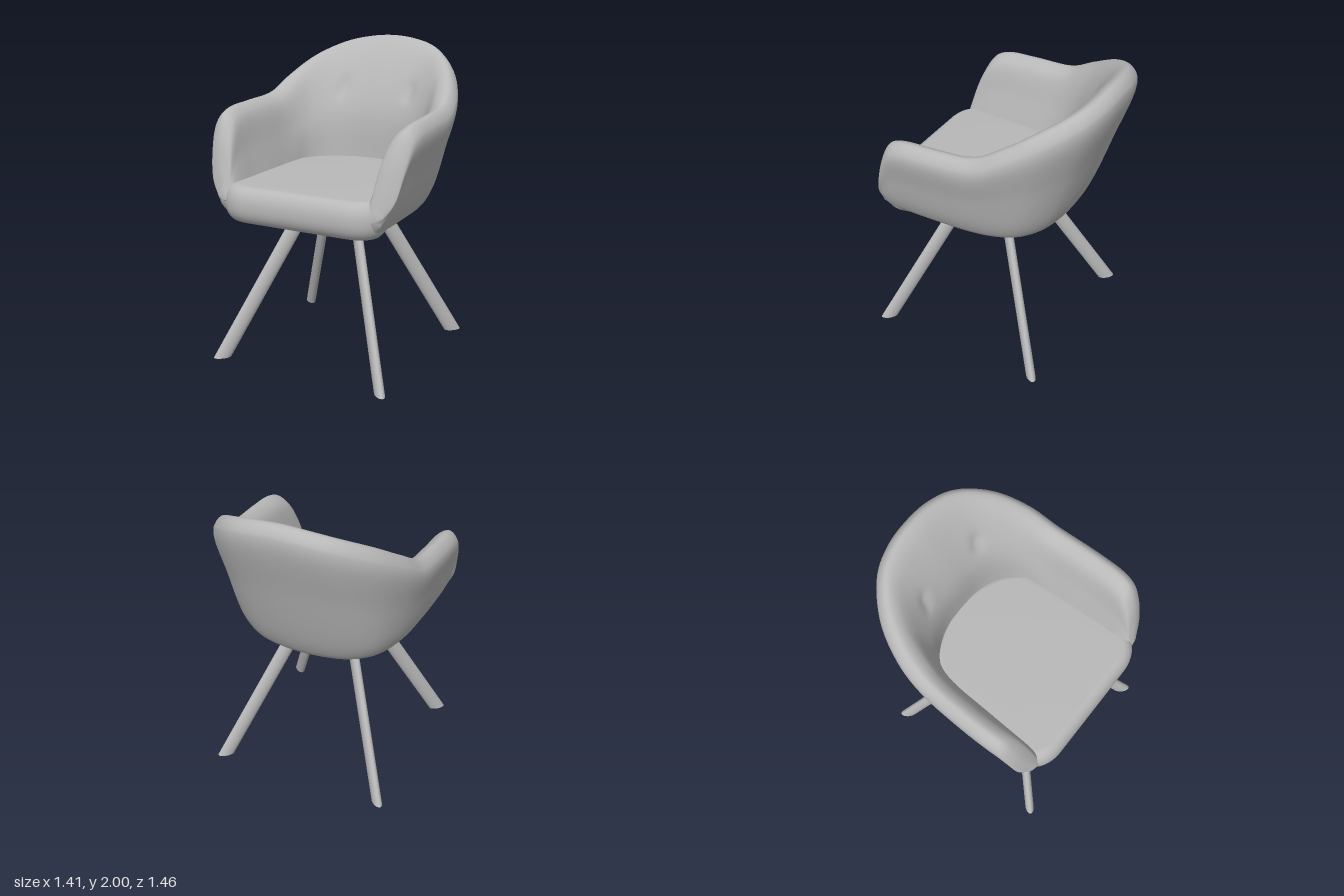
import * as THREE from 'three';

const grey = new THREE.MeshStandardMaterial({ color: 0xb8b8b8 });
grey.name = 'grey';

// Half-plan stations from back centre to arm front:
// rim outline x, z | rim height | bulge x, z | base x, z | inner seat edge x, z
const STATIONS = [
  [0, -0.73, 2.0, 0, -0.47, 0, -0.28, 0, -0.34],
  [0.18, -0.717, 1.985, 0.18, -0.455, 0.12, -0.27, 0.15, -0.33],
  [0.35, -0.66, 1.945, 0.33, -0.41, 0.23, -0.24, 0.27, -0.29],
  [0.53, -0.5, 1.855, 0.46, -0.31, 0.33, -0.16, 0.36, -0.235],
  [0.64, -0.29, 1.74, 0.53, -0.17, 0.38, -0.06, 0.41, -0.16],
  [0.68, -0.1, 1.645, 0.57, 0.0, 0.40, 0.06, 0.425, -0.03],
  [0.70, 0.2, 1.62, 0.585, 0.22, 0.41, 0.22, 0.435, 0.2],
  [0.70, 0.4, 1.605, 0.59, 0.4, 0.42, 0.38, 0.445, 0.4],
  [0.69, 0.49, 1.565, 0.59, 0.5, 0.42, 0.47, 0.45, 0.5],
  [0.67, 0.56, 1.44, 0.59, 0.57, 0.42, 0.54, 0.455, 0.58],
  [0.635, 0.615, 1.26, 0.585, 0.615, 0.42, 0.59, 0.465, 0.635],
  [0.575, 0.65, 1.13, 0.555, 0.64, 0.41, 0.62, 0.475, 0.665],
];

// Control points of one wall section: underside, outside, rim, inside
function sectionPoints([rx, rz, h, bx, bz, ox, oz, ix, iz]) {
  const d = new THREE.Vector2(ix - rx, iz - rz);
  const len = d.length();
  d.normalize();
  const inset = (t, y) => new THREE.Vector3(rx + d.x * t, y, rz + d.y * t);
  const drop = Math.min(0.07, (h - 1.04) * 0.4);
  const base = new THREE.Vector3(ox, 0.94, oz);
  const bulge = new THREE.Vector3(bx, Math.min(1.08, h - 0.1), bz);
  const heel = base.clone().lerp(bulge, 0.62).setY(0.98);
  const rimOut = inset(0, h - drop);
  const side = bulge.clone().lerp(rimOut, 0.5);
  const swell = 0.02 * (h - 1.12);
  side.x -= d.x * swell;
  side.z -= d.y * swell;
  const rimIn = inset(Math.min(0.14, len * 0.75), h - drop * 0.7);
  const seat = new THREE.Vector3(ix, Math.min(1.13, h - drop - 0.02), iz);
  const pull = Math.max(0, 0.23 * (h - 1.6));
  const mid = rimIn.clone().lerp(seat, 0.5);
  mid.x += d.x * pull;
  mid.z += d.y * pull;
  return [
    new THREE.Vector3(0, 0.945, oz), base, heel, bulge, side, rimOut,
    inset(Math.min(0.06, len * 0.4), h),
    rimIn, mid, seat,
  ];
}

// Padded wall: guide curves run around the chair, sections are lofted across them
function shellGeometry() {
  const half = STATIONS.map(sectionPoints);
  const full = [
    ...half.slice(1).reverse().map((s) => s.map((p) => new THREE.Vector3(-p.x, p.y, p.z))),
    ...half,
  ];
  const guides = half[0].map((_, j) => new THREE.CatmullRomCurve3(full.map((s) => s[j])));
  const rows = 132, cols = 63;
  const grid = [];
  for (let i = 0; i <= rows; i++) {
    const pts = guides.map((g) => g.getPoint(i / rows));
    // the underside is straight, the rest of the section is a smooth curve
    const curve = new THREE.CatmullRomCurve3(pts.slice(1), false, 'centripetal');
    grid.push([pts[0], ...curve.getPoints(cols - 1)]);
  }
  // shallow tufts in the backrest
  for (const row of grid) {
    for (const p of row.slice(Math.round(cols * 0.68))) {
      if (p.z > 0) continue;
      const r2 = (Math.abs(p.x) - 0.25) ** 2 + (p.y - 1.66) ** 2;
      p.z -= 0.03 * Math.exp(-r2 / 0.0018);
    }
  }
  // rounded ends that close the arm fronts
  const close = (row) => {
    const c = new THREE.Vector3();
    row.slice(1).forEach((p) => c.addScaledVector(p, 1 / cols));
    const shrink = (t, dz) => row.map((p) => {
      const q = p.clone().lerp(c, t);
      q.z += dz;
      return q;
    });
    return [shrink(0.3, 0.01), shrink(0.7, 0.015), shrink(1, 0.017)];
  };
  const all = [...close(grid[0]).reverse(), ...grid, ...close(grid[rows])];

  const position = [], index = [], w = cols + 1;
  all.forEach((row) => row.forEach((p) => position.push(p.x, p.y, p.z)));
  for (let i = 0; i < all.length - 1; i++) {
    for (let j = 0; j < cols; j++) {
      const a = i * w + j, b = a + 1, c = a + w, d = c + 1;
      index.push(a, b, c, b, d, c);
    }
  }
  const g = new THREE.BufferGeometry();
  g.setAttribute('position', new THREE.Float32BufferAttribute(position, 3));
  g.setIndex(index);
  g.computeVertexNormals();
  return g;
}

// Seat cushion with a rolled front edge and an arched back
function cushionGeometry() {
  const s = new THREE.Shape();
  s.moveTo(-0.34, -0.65);
  s.lineTo(0.34, -0.65);
  s.bezierCurveTo(0.42, -0.65, 0.485, -0.61, 0.475, -0.55);
  s.lineTo(0.42, 0.12);
  s.bezierCurveTo(0.36, 0.25, 0.2, 0.33, 0, 0.34);
  s.bezierCurveTo(-0.2, 0.33, -0.36, 0.25, -0.42, 0.12);
  s.lineTo(-0.475, -0.55);
  s.bezierCurveTo(-0.485, -0.61, -0.42, -0.65, -0.34, -0.65);
  const g = new THREE.ExtrudeGeometry(s, {
    depth: 0.015, bevelThickness: 0.11, bevelSize: 0.075, bevelSegments: 10, curveSegments: 16,
  });
  g.rotateX(-Math.PI / 2);
  g.translate(0, 1.047, 0);
  // lift the hidden underside into the shell and slope the top up to the back
  const p = g.attributes.position;
  for (let i = 0; i < p.count; i++) {
    const z = p.getZ(i);
    let y = p.getY(i);
    if (z < 0.4) y = Math.max(y, 1.04);
    if (y > 1.06) y += 0.02 * (0.7 - z);
    p.setY(i, y);
  }
  return smooth(g);
}

// Averages normals across shared corners
function smooth(g) {
  const p = g.attributes.position, n = g.attributes.normal;
  g.computeVertexNormals();
  const key = (i) => [p.getX(i), p.getY(i), p.getZ(i)].map((v) => Math.round(v * 1e4)).join();
  const sums = new Map(), v = new THREE.Vector3();
  for (let i = 0; i < p.count; i++) {
    const k = key(i);
    if (!sums.has(k)) sums.set(k, new THREE.Vector3());
    sums.get(k).add(v.fromBufferAttribute(n, i));
  }
  for (let i = 0; i < p.count; i++) {
    v.copy(sums.get(key(i))).normalize();
    n.setXYZ(i, v.x, v.y, v.z);
  }
  return g;
}

// Splayed oval leg, cut level at the floor and under the seat
function legGeometry(sx, sz) {
  const h = 0.94;
  const g = new THREE.CylinderGeometry(1, 1, h, 28);
  g.scale(0.03, 1, 0.058);
  g.rotateY(Math.atan2(sx, sz));
  g.translate(0.008, h / 2, 0.107);
  const p = g.attributes.position;
  for (let i = 0; i < p.count; i++) {
    const t = p.getY(i) / h;
    p.setX(i, p.getX(i) + sx * (0.573 - 0.383 * t));
    p.setZ(i, p.getZ(i) + sz * (0.573 - 0.413 * t));
  }
  g.computeVertexNormals();
  return g;
}

export function createModel() {
  const model = new THREE.Group();
  model.name = 'armchair';
  const add = (name, geometry) => {
    const mesh = new THREE.Mesh(geometry, grey);
    mesh.name = name;
    model.add(mesh);
    return mesh;
  };

  add('shell', shellGeometry());
  add('seatCushion', cushionGeometry());
  add('mountPlate', new THREE.BoxGeometry(0.46, 0.02, 0.4)).position.set(0.008, 0.938, 0.107);

  for (const sx of [1, -1]) {
    for (const sz of [1, -1]) {
      add((sz > 0 ? 'front' : 'back') + (sx > 0 ? 'Left' : 'Right') + 'Leg', legGeometry(sx, sz));
    }
  }
  return model;
}
